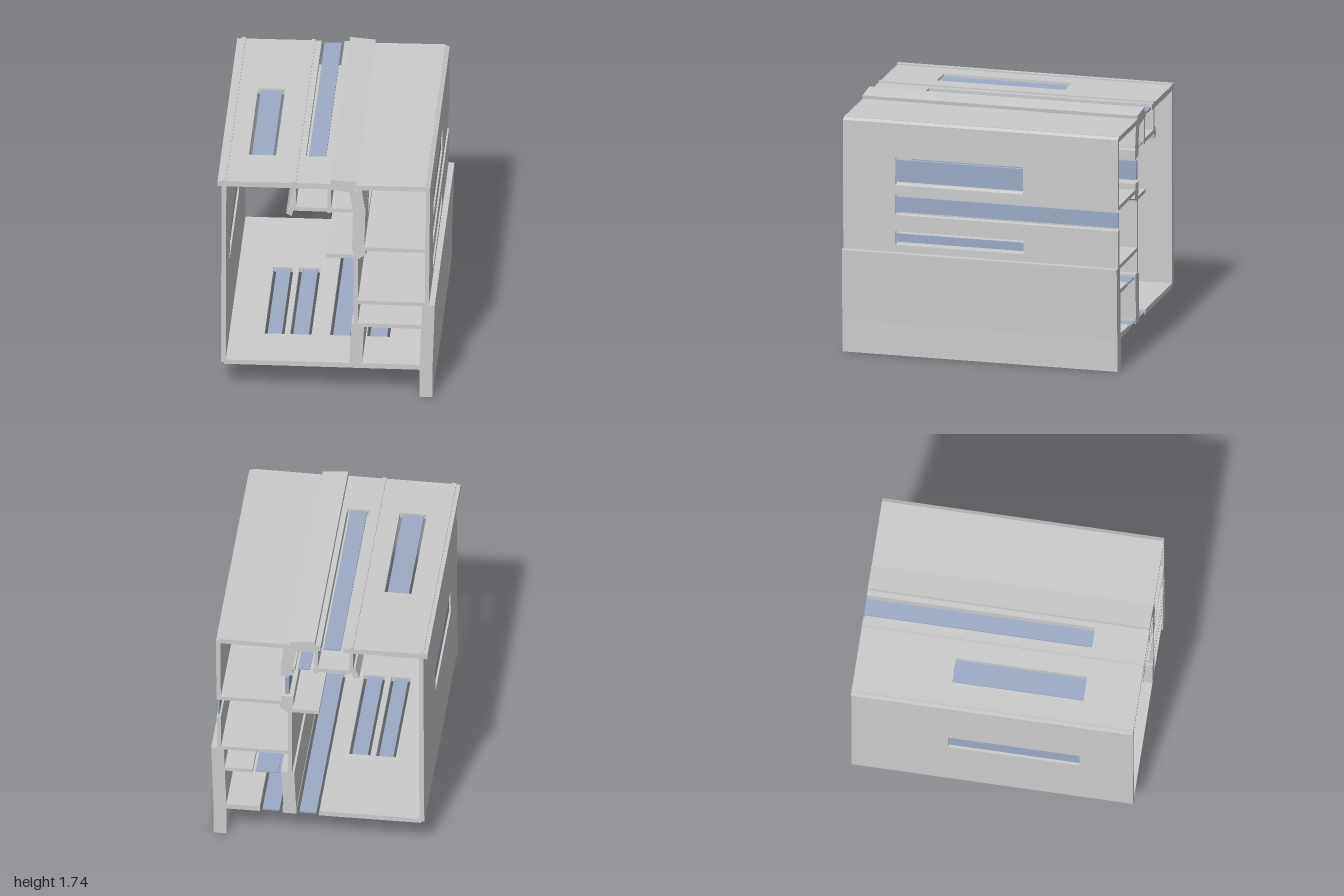
import * as THREE from 'three';

const GREY = new THREE.MeshStandardMaterial({ color: 0xcccccc, flatShading: true });
const GLASS = new THREE.MeshStandardMaterial({ color: 0x9dabc4, flatShading: true });
const BACK = -1, FRONT = 1, SILL = -0.31, HEAD = 0.62; // heights run along z
const GAP = 0.02, PANE = 0.16; // pane side gap, pane thickness as a share of the wall

// Prism with the outline pts (x, y) from z0 to z1
function prism(name, pts, z0, z1, material = GREY) {
  const shape = new THREE.Shape(pts.map(([x, y]) => new THREE.Vector2(x, y)));
  const geo = new THREE.ExtrudeGeometry(shape, { depth: z1 - z0, bevelEnabled: false });
  geo.translate(0, 0, z0);
  const mesh = new THREE.Mesh(geo, material);
  mesh.name = name;
  return mesh;
}

const mix = (p, q, t) => [p[0] + (q[0] - p[0]) * t, p[1] + (q[1] - p[1]) * t];

// Straight wall: sides a0-a1 and b0-b1, running along axis (0 = x, 1 = y).
// Openings are [from, to, isDoor] along that axis, in rising order.
function wall(name, [a0, a1, b1, b0], axis = 0, openings = []) {
  const group = new THREE.Group();
  group.name = name;
  const start = (a0[axis] + b0[axis]) / 2, end = (a1[axis] + b1[axis]) / 2;
  const slice = (s, e, inset = 0) => {
    const quad = [];
    for (const [t, flip] of [[s, false], [e, true]]) {
      const a = mix(a0, a1, t), b = mix(b0, b1, t);
      const pair = [mix(a, b, inset), mix(a, b, 1 - inset)];
      quad.push(...(flip ? pair.reverse() : pair));
    }
    return quad;
  };
  const t = (v) => (v - start) / (end - start);
  let last = 0;
  for (const [from, to, isDoor] of openings) {
    const bottom = isDoor ? BACK : SILL;
    group.add(prism('wallPiece', slice(last, t(from)), BACK, FRONT));
    group.add(prism('lintel', slice(t(from), t(to)), HEAD, FRONT));
    if (!isDoor) group.add(prism('sill', slice(t(from), t(to)), BACK, SILL));
    group.add(prism(isDoor ? 'doorPane' : 'windowPane',
      slice(t(from + GAP), t(to - GAP), 0.5 - PANE), bottom, HEAD, GLASS));
    last = t(to);
  }
  group.add(prism('wallPiece', slice(last, 1), BACK, FRONT));
  return group;
}

const rect = (x0, y0, x1, y1) => [[x0, y0], [x1, y0], [x1, y1], [x0, y1]];

export function createModel() {
  const model = new THREE.Group();
  model.name = 'wallPlan';

  // Outer walls
  model.add(
    wall('topLeftWall', [[-0.765, 1.652], [0.03, 1.657], [0.03, 1.7], [-0.765, 1.692]], 0,
      [[-0.57, -0.38, false], [-0.17, -0.01, true]]),
    wall('topRightWall', [[0.19, 1.657], [0.7, 1.665], [0.7, 1.702], [0.19, 1.694]]),
    wall('leftWall', [[-0.742, 0.235], [-0.735, 1.703], [-0.703, 1.703], [-0.707, 0.235]], 1,
      [[0.85, 1.04, false]]),
    wall('bottomWall', [[-0.72, 0.212], [0.665, 0.218], [0.665, 0.258], [-0.72, 0.247]], 0,
      [[-0.46, -0.32, false], [-0.28, -0.13, false], [0, 0.16, true], [0.26, 0.42, true]]),
    wall('rightWall', [[0.693, 0.74], [0.698, 1.7], [0.73, 1.685], [0.722, 0.74]], 1,
      [[0.8, 0.9, false], [1.02, 1.17, true], [1.24, 1.44, false]]),
    prism('rightLeg', [[0.655, 0], [0.747, 0], [0.747, 0.23], [0.763, 0.746],
      [0.675, 0.746], [0.655, 0.25]], BACK, FRONT),
    prism('leftBottomCorner', rect(-0.742, 0.225, -0.707, 0.25), BACK, FRONT),
    prism('topCap', [[0.03, 1.735], [0.21, 1.72], [0.2, 1.635], [0.025, 1.653]], BACK, FRONT),
  );

  // Spine between the large and the small rooms
  model.add(
    prism('spineFoot', [[0.161, 0.217], [0.25, 0.217], [0.266, 0.567], [0.177, 0.567]], BACK, FRONT),
    prism('spineMiddle', rect(0.192, 0.56, 0.222, 1.13), BACK, FRONT),
    prism('spineKnot', [[0.182, 1.17], [0.27, 1.175], [0.282, 1.132], [0.24, 1.113],
      [0.237, 1.1], [0.19, 1.108], [0.195, 1.14]], BACK, FRONT),
    wall('spineUpper', [[0.18, 1.168], [0.188, 1.5], [0.275, 1.485], [0.267, 1.168]], 1,
      [[1.24, 1.42, true]]),
    prism('spineTop', [[0.162, 1.64], [0.25, 1.66], [0.275, 1.494], [0.19, 1.482]], BACK, FRONT),
  );

  // Partitions of the small rooms
  model.add(
    wall('innerTopWall', rect(-0.235, 1.474, 0.195, 1.503), 0, [[0.045, 0.17, true]]),
    prism('innerTopCorner', [[-0.255, 1.525], [-0.222, 1.512], [-0.243, 1.43], [-0.283, 1.45]],
      BACK, FRONT),
    prism('innerTopLeftWall', rect(-0.24, 1.495, -0.214, 1.708), BACK, FRONT),
    prism('innerTopDivider', rect(0.01, 1.464, 0.034, 1.657), BACK, FRONT),
    prism('stubWall', rect(0.002, 1.104, 0.2, 1.132), BACK, FRONT),
    prism('upperPartition', rect(0.26, 1.167, 0.7, 1.196), BACK, FRONT),
    prism('middlePartition', rect(0.22, 0.735, 0.7, 0.762), BACK, FRONT),
    wall('lowerPartition', rect(0.215, 0.55, 0.67, 0.579), 0, [[0.27, 0.47, true]]),
  );
  return model;
}
